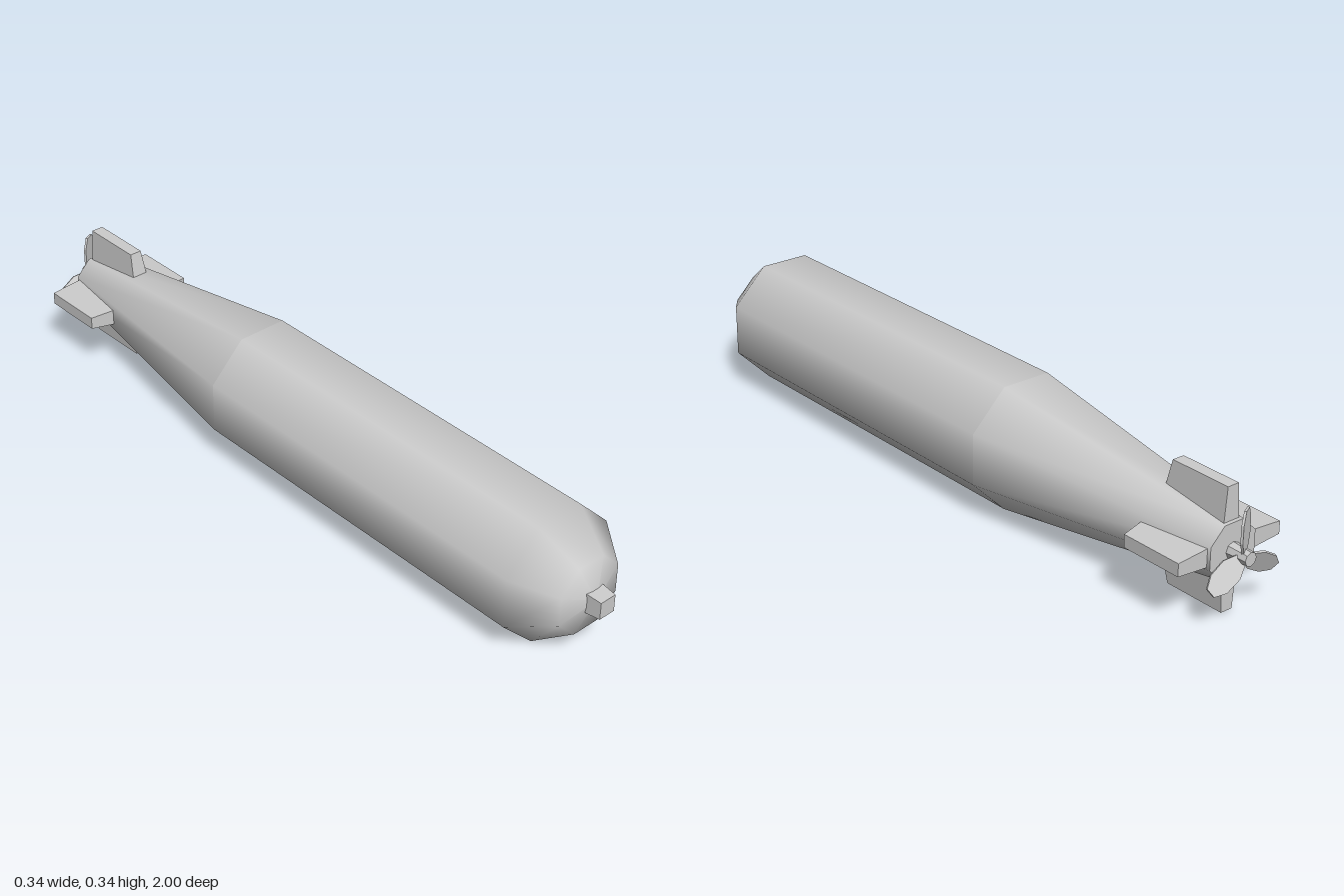
import * as THREE from 'three';

const AXIS_Y = 0.169;
const material = new THREE.MeshStandardMaterial({ color: 0xcccccc });
const facetedMaterial = new THREE.MeshStandardMaterial({ color: 0xcccccc, flatShading: true });

function addMesh(parent, name, geometry, mat = facetedMaterial) {
  const mesh = new THREE.Mesh(geometry, mat);
  mesh.name = name;
  parent.add(mesh);
  return mesh;
}

// Reshapes a unit box: rule(vertex) receives corner signs of -1 or +1.
function shapedBox(rule) {
  const geometry = new THREE.BoxGeometry(2, 2, 2);
  const pos = geometry.attributes.position;
  for (let i = 0; i < pos.count; i++) {
    pos.setXYZ(i, ...rule(pos.getX(i), pos.getY(i), pos.getZ(i)));
  }
  geometry.computeVertexNormals();
  return geometry;
}

// Eight-sided hull: half-width across the flats against z, tail to nose.
function hullGeometry() {
  const profile = [
    [0.071, -0.943], [0.168, -0.218], [0.168, -0.218], // repeated point keeps a crease
    [0.168, 0.837], [0.096, 0.942], [0, 0.968],
  ];
  const points = profile.map(([r, z]) => new THREE.Vector2(r / Math.cos(Math.PI / 8), z));
  return new THREE.LatheGeometry(points, 8, Math.PI / 8).rotateX(Math.PI / 2);
}

// Propeller blade: a leaf outline, pitched about its own length.
function bladeGeometry() {
  const outline = [
    [-0.01, 0], [0.01, 0], [0.03, 0.045], [0.029, 0.09],
    [0.013, 0.119], [-0.013, 0.119], [-0.029, 0.09], [-0.03, 0.045],
  ].map(([x, y]) => new THREE.Vector2(x, y));
  const geometry = new THREE.ExtrudeGeometry(new THREE.Shape(outline), { depth: 0.006, bevelEnabled: false });
  return geometry.translate(0, 0, -0.003).rotateY(0.5);
}

export function createModel() {
  const model = new THREE.Group();
  model.name = 'torpedo';
  const body = new THREE.Group();
  body.name = 'body';
  body.position.y = AXIS_Y;
  model.add(body);

  addMesh(body, 'hull', hullGeometry(), material);

  // Flat tail plate
  const plate = new THREE.CircleGeometry(0.071 / Math.cos(Math.PI / 8), 8, Math.PI / 8);
  addMesh(body, 'tailPlate', plate.rotateY(Math.PI).translate(0, 0, -0.943));

  // Nose stub, slightly narrower at its front
  addMesh(body, 'noseStub', shapedBox((x, y, z) => {
    const half = z > 0 ? 0.024 : 0.029;
    return [x * half, y * half, z > 0 ? 1 : 0.94];
  }));

  // Four tail fins, thinner and shorter toward the tip
  const fin = shapedBox((x, y, z) => {
    const tip = y > 0;
    return [
      x * (tip ? 0.017 : 0.026),
      tip ? 0.162 : 0.05,
      z > 0 ? (tip ? -0.757 : -0.733) : -0.934,
    ];
  });
  for (let i = 0; i < 4; i++) {
    addMesh(body, 'tailFin', fin).rotation.z = (i * Math.PI) / 2;
  }

  // Three-bladed propeller on a short hub
  const propeller = new THREE.Group();
  propeller.name = 'propeller';
  propeller.position.z = -0.979;
  body.add(propeller);
  const hub = new THREE.CylinderGeometry(0.022, 0.018, 0.06, 8).rotateX(Math.PI / 2);
  addMesh(propeller, 'hub', hub).position.z = 0.009;
  const blade = bladeGeometry();
  for (let i = 0; i < 3; i++) {
    addMesh(propeller, 'blade', blade).rotation.z = (i * Math.PI * 2) / 3;
  }

  return model;
}
